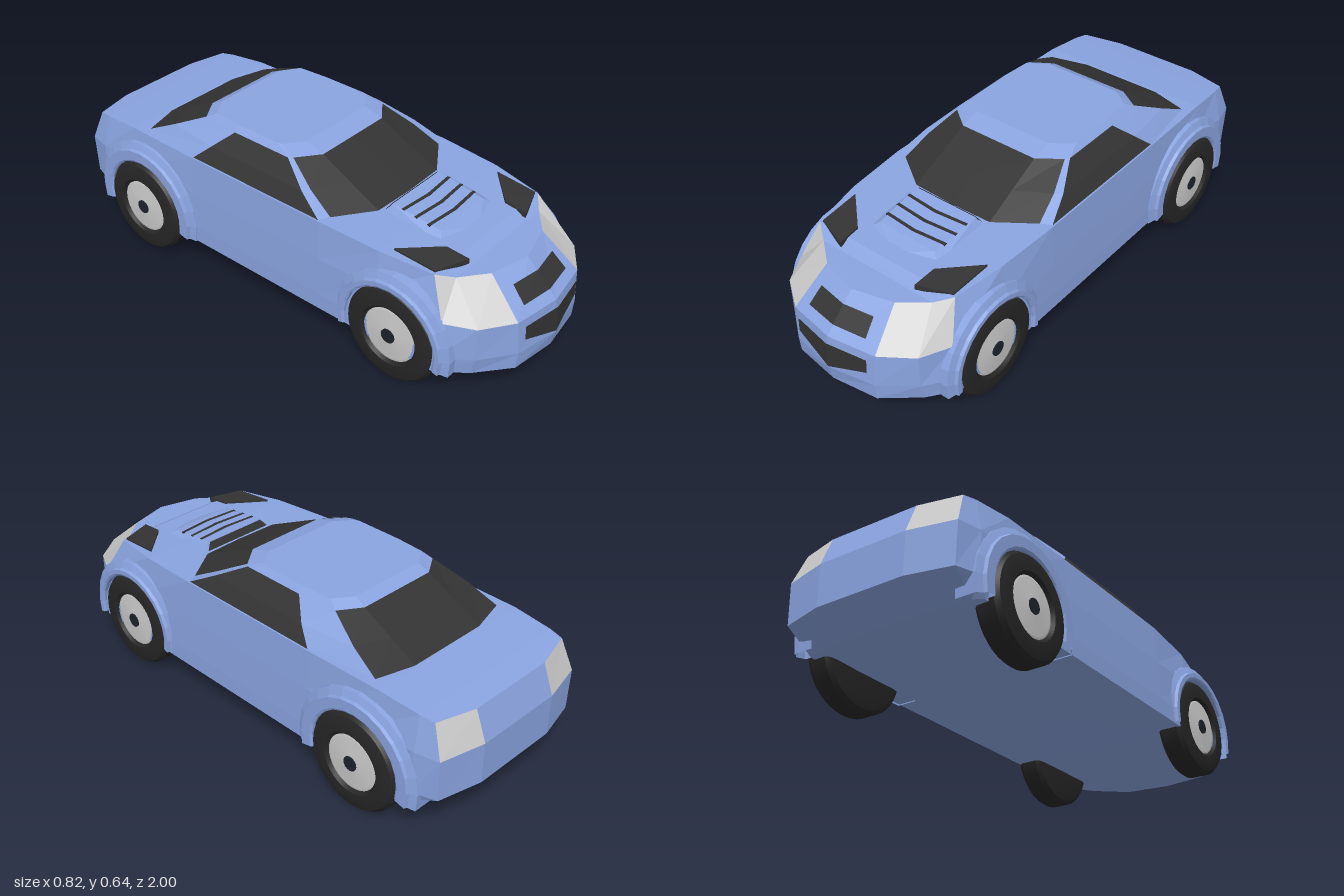
import * as THREE from 'three';
import { toCreasedNormals } from 'three/addons/utils/BufferGeometryUtils.js';
import { ConvexGeometry } from 'three/addons/geometries/ConvexGeometry.js';

const material = (color) => new THREE.MeshStandardMaterial({ color, side: THREE.DoubleSide, flatShading: true });
const paint = material(0x8aa4e0);
const glass = material(0x333333);
const grey = material(0xcccccc);
const rubber = new THREE.MeshStandardMaterial({ color: 0x262626, side: THREE.DoubleSide });
const capDark = material(0x1c222c);

const flip = ([x, y, z]) => [-x, y, z];

// Flat mesh from quads whose corners run counter-clockwise
function quadMesh(name, quads, mat) {
  const pos = quads.flatMap(([a, b, c, d]) => [a, b, c, a, c, d]).flat();
  const geo = new THREE.BufferGeometry();
  geo.setAttribute('position', new THREE.Float32BufferAttribute(pos, 3));
  geo.computeVertexNormals();
  const mesh = new THREE.Mesh(geo, mat);
  mesh.name = name;
  return mesh;
}

// Side strip segment i between two half outlines, with its mirror image
function strip(low, up, i) {
  const q = [low[i], low[i + 1], up[i + 1], up[i]];
  return [q, q.map(flip).reverse()];
}

// Rows across the car closing a half outline
function cap(ring, down = false) {
  const rows = ring.slice(1).map((p, i) => [ring[i], p, flip(p), flip(ring[i])]);
  return down ? rows.map((q) => q.reverse()) : rows;
}

function hull(name, points, mat) {
  const mesh = new THREE.Mesh(new ConvexGeometry(points.map((p) => new THREE.Vector3(...p))), mat);
  mesh.name = name;
  return mesh;
}

function lathe(name, profile, mat, segments, start = 0, length = Math.PI * 2) {
  const geo = new THREE.LatheGeometry(profile.map((p) => new THREE.Vector2(...p)), segments, start, length);
  geo.rotateZ(-Math.PI / 2); // axis along x, outer face at +x
  const mesh = new THREE.Mesh(toCreasedNormals(geo, 0.4), mat);
  mesh.name = name;
  return mesh;
}

// Lower body: four half outlines from nose to tail
function addBody(car) {
  const sill = [[0, .135, .985], [.18, .135, .96], [.3, .135, .86], [.375, .135, .76], [.375, .135, .5], [.375, .135, .25],
    [.375, .135, -.38], [.375, .135, -.66], [.365, .14, -.83], [.33, .14, -.85], [.18, .14, -.86], [0, .14, -.86]];
  const bumper = [[0, .2, 1], [.18, .2, .965], [.3, .2, .875], [.375, .2, .77], [.375, .2, .5], [.375, .2, .25],
    [.375, .2, -.38], [.375, .2, -.66], [.38, .2, -.87], [.35, .2, -.96], [.18, .2, -1], [0, .2, -1]];
  const waist = [[0, .33, .985], [.185, .33, .955], [.3, .33, .875], [.355, .335, .77], [.365, .35, .5], [.37, .35, .25],
    [.37, .35, -.38], [.375, .35, -.66], [.375, .36, -.87], [.355, .36, -.96], [.18, .36, -1], [0, .36, -1]];
  const shoulder = [[0, .45, .86], [.155, .45, .82], [.25, .45, .745], [.31, .475, .7], [.345, .49, .5], [.36, .5, .25],
    [.36, .5, -.38], [.355, .5, -.7], [.345, .487, -.86], [.335, .48, -.915], [.18, .475, -.955], [0, .475, -.955]];

  const shell = [...cap(sill, true), ...cap(shoulder)];
  const headlights = [], taillights = [];
  for (let i = 0; i < sill.length - 1; i++) {
    shell.push(...strip(sill, bumper, i), ...strip(bumper, waist, i));
    const target = i === 1 || i === 2 ? headlights : i === 9 ? taillights : shell;
    target.push(...strip(waist, shoulder, i));
  }
  car.add(quadMesh('body', shell, paint));
  car.add(quadMesh('headlights', headlights, grey));
  car.add(quadMesh('taillights', taillights, grey));

  // Shallow keel under the nose
  car.add(hull('frontKeel', [[.18, .136, .95], [-.18, .136, .95], [.3, .136, .4], [-.3, .136, .4],
    [0, .136, 0], [0, .108, .4], [0, .136, .98]], paint));
}

// Cabin: rising outlines; some segments are glass
function addCabin(car) {
  const at = (y, pts) => pts.map(([x, z]) => [x, y, z]);
  const base = at(.494, [[0, .365], [.17, .36], [.315, .27], [.357, .25], [.357, -.38], [.32, -.66], [.17, -.7], [0, -.7]]);
  const belt = at(.618, [[0, .1], [.165, .1], [.25, .035], [.262, .02], [.262, -.24], [.25, -.4], [.165, -.455], [0, -.455]]);
  const roof = at(.64, [[0, .02], [.165, .02], [.232, -.03], [.24, -.05], [.24, -.24], [.232, -.36], [.16, -.41], [0, -.41]]);
  const middle = base.map((p, i) => p.map((v, k) => (v + belt[i][k]) / 2 + (k === 0 && p[0] > .2 ? .01 : 0)));
  const parts = { pillars: [], windshield: [], sideWindows: [], rearWindow: [] };
  const kinds = ['windshield', 'windshield', 'pillars', 'sideWindows', 'pillars', 'rearWindow', 'rearWindow'];
  kinds.forEach((kind, i) => {
    parts[kind].push(...strip(base, middle, i), ...strip(middle, belt, i));
    parts.pillars.push(...strip(belt, roof, i));
  });
  parts.pillars.push(...cap(roof));
  for (const [name, quads] of Object.entries(parts)) {
    car.add(quadMesh(name === 'pillars' ? 'roofAndPillars' : name, quads, name === 'pillars' ? paint : glass));
  }
}

// Grilles, hood scoop, louvres and vents
function addFrontDetails(car) {
  const mirrored = (q) => [q, q.map(flip).reverse()];
  car.add(quadMesh('upperGrille', mirrored([[0, .362, .957], [.13, .362, .938], [.12, .415, .884], [0, .415, .903]]), glass));
  car.add(quadMesh('lowerGrille', mirrored([[0, .203, 1], [.158, .252, .973], [.158, .306, .97], [0, .306, .996]]), glass));

  const side = (pts) => [...pts, ...pts.map(flip)];
  car.add(hull('hoodScoop', side([[.165, .48, .37], [.165, .47, .62], [.135, .522, .39], [.125, .497, .59], [0, .47, .66]]), paint));
  car.add(quadMesh('scoopBack', [[[.13, .521, .386], [-.13, .521, .386], [-.155, .492, .368], [.155, .492, .368]]], glass));

  // Chevron louvres across the scoop
  [.44, .495, .55].forEach((z) => {
    const y = .5225 - (z - .39) * .125;
    for (const s of [1, -1]) {
      const bar = new THREE.Mesh(new THREE.BoxGeometry(.136, .008, .012), glass);
      bar.name = 'louvre';
      bar.position.set(s * .067, y - .003, z);
      bar.rotation.y = s * .08;
      car.add(bar);
    }
  });

  const top = [[.305, .495, .53], [.175, .488, .65], [.17, .478, .74], [.3, .482, .695]];
  const vent = [...top, ...top.map(([x, y, z]) => [x, y - .02, z])];
  car.add(hull('leftHoodVent', vent, glass), hull('rightHoodVent', vent.map(flip), glass));
}

// Wheel with tyre, rim disc and centre cap
function makeWheel() {
  const w = .055;
  const wheel = new THREE.Group();
  wheel.add(lathe('tyre', [[0, -w], [.155, -w], [.178, -w + .006], [.19, -w + .02], [.19, w - .024],
    [.178, w - .007], [.155, w], [.118, w], [.107, w - .012]], rubber, 40));
  wheel.add(lathe('rim', [[.108, w - .012], [.1, w - .01], [.03, w - .004], [0, w - .004]], grey, 32));
  wheel.add(lathe('centreCap', [[.028, w - .01], [.028, w], [0, w]], capDark, 16));
  return wheel;
}

// Stepped fender ring above a wheel
function makeArch(radius) {
  return lathe('wheelArch', [[.192, -.1], [.192, -.005], [.2, 0], [radius - .03, 0], [radius - .026, -.012],
    [radius, -.022], [radius, -.1]], paint, 14, Math.PI - .22, Math.PI + .44);
}

export function createModel() {
  const car = new THREE.Group();
  car.name = 'car';
  addBody(car);
  addCabin(car);
  addFrontDetails(car);

  const axles = [
    { name: 'front', z: .575, x: .33, archX: .39, radius: .248 },
    { name: 'rear', z: -.63, x: .355, archX: .4, radius: .27 },
  ];
  for (const { name, z, x, archX, radius } of axles) {
    for (const s of [1, -1]) {
      const wheel = makeWheel();
      wheel.name = name + (s > 0 ? 'LeftWheel' : 'RightWheel');
      wheel.position.set(s * x, .19, z);
      const arch = makeArch(radius);
      arch.name = name + (s > 0 ? 'LeftArch' : 'RightArch');
      arch.position.set(s * archX, .19, z);
      if (s < 0) wheel.rotation.y = arch.rotation.y = Math.PI;
      car.add(wheel, arch);
    }
  }
  return car;
}
